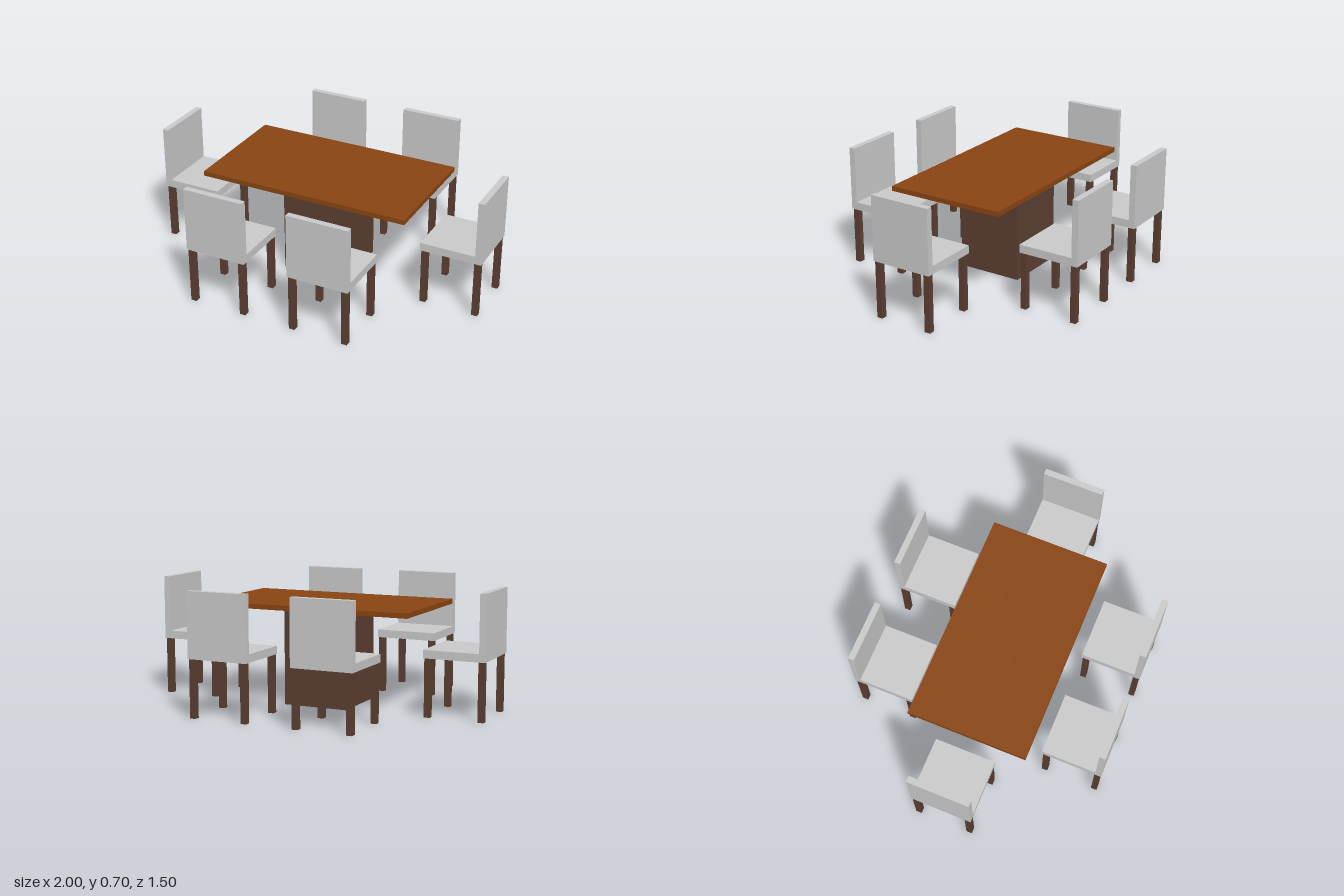
import * as THREE from 'three';

const fabric = new THREE.MeshStandardMaterial({ color: 0xcccccc });
const topWood = new THREE.MeshStandardMaterial({ color: 0x8b4513 });
const darkWood = new THREE.MeshStandardMaterial({ color: 0x5c4033 });

// Box resting on height y0, reaching up to y1
function block(name, material, width, depth, y0, y1, x = 0, z = 0) {
  const mesh = new THREE.Mesh(new THREE.BoxGeometry(width, y1 - y0, depth), material);
  mesh.name = name;
  mesh.position.set(x, (y0 + y1) / 2, z);
  return mesh;
}

// Chair facing +z, centred on its seat
function createChair() {
  const width = 0.358, depth = 0.355, backDepth = 0.036, legSize = 0.034;
  const chair = new THREE.Group();
  chair.name = 'chair';
  chair.add(block('seat', fabric, width, depth - backDepth, 0.328, 0.374, 0, backDepth / 2));
  chair.add(block('backrest', fabric, width, backDepth, 0.328, 0.698, 0, (backDepth - depth) / 2));
  for (const sx of [-1, 1]) {
    for (const sz of [-1, 1]) {
      const name = sz > 0 ? 'frontLeg' : 'backLeg';
      chair.add(block(name, darkWood, legSize, legSize, 0, 0.328, sx * 0.157, sz * 0.154));
    }
  }
  return chair;
}

export function createModel() {
  const model = new THREE.Group();
  model.name = 'diningSet';

  // Table
  const table = new THREE.Group();
  table.name = 'table';
  table.add(block('tableTop', topWood, 1.238, 0.694, 0.563, 0.591));
  table.add(block('pedestal', darkWood, 0.383, 0.383, 0, 0.563));
  model.add(table);

  // Chairs: two along each long side, one at each end, all facing the table
  const places = [
    [-0.31, 0.574, Math.PI], [0.31, 0.574, Math.PI],
    [-0.31, -0.574, 0], [0.31, -0.574, 0],
    [-0.8225, 0, Math.PI / 2], [0.8225, 0, -Math.PI / 2],
  ];
  for (const [x, z, turn] of places) {
    const chair = createChair();
    chair.position.set(x, 0, z);
    chair.rotation.y = turn;
    model.add(chair);
  }
  return model;
}
